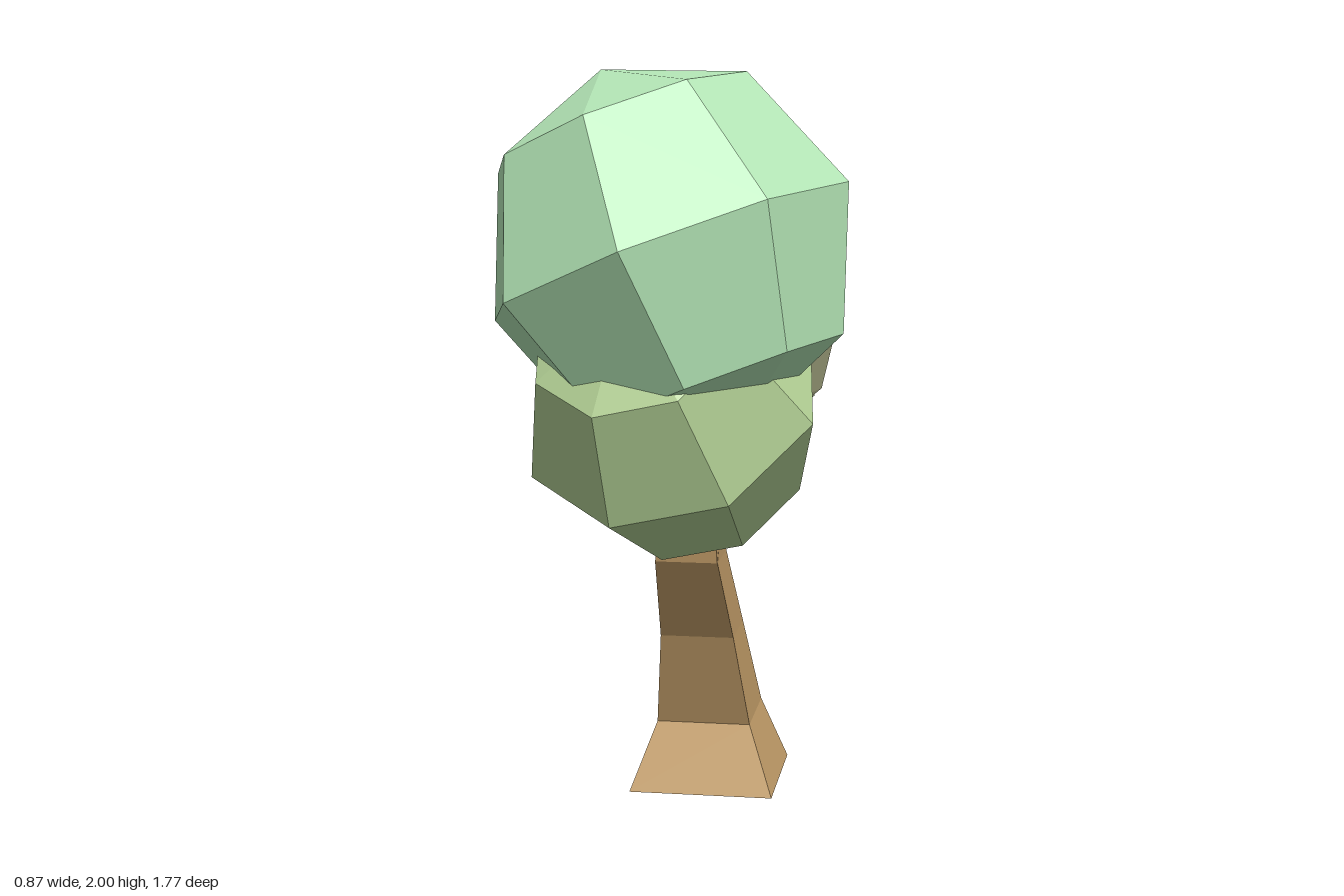
import * as THREE from 'three';

const material = (color) =>
  new THREE.MeshStandardMaterial({ color, flatShading: true, side: THREE.DoubleSide });

// Faceted leaf ball: centre, radius, direction of its pole and of one equator corner
function leafBall(name, color, centre, radius, pole, corner) {
  const up = new THREE.Vector3(...pole).normalize();
  const out = new THREE.Vector3(...corner);
  out.addScaledVector(up, -out.dot(up)).normalize();
  const side = new THREE.Vector3().crossVectors(out, up);
  const geometry = new THREE.SphereGeometry(radius, 8, 4);
  geometry.applyMatrix4(new THREE.Matrix4().makeBasis(out, up, side));
  const mesh = new THREE.Mesh(geometry, material(color));
  mesh.name = name;
  mesh.position.set(...centre);
  return mesh;
}

// Four-sided limb lofted through sections [frontZ, frontY, backZ, backY, halfWidth]
function limb(name, sections, closedBase = false) {
  const cx = -0.018;
  const rings = sections.map(([fz, fy, bz, by, w]) => [
    [cx + w, fy, fz], [cx + w, by, bz], [cx - w, by, bz], [cx - w, fy, fz],
  ]);
  const points = [];
  const quad = (a, b, c, d) => points.push(...a, ...b, ...c, ...a, ...c, ...d);
  for (let s = 0; s < rings.length - 1; s++) {
    const lower = rings[s], upper = rings[s + 1];
    for (let i = 0; i < 4; i++) {
      const j = (i + 1) % 4;
      quad(lower[i], lower[j], upper[j], upper[i]);
    }
  }
  if (closedBase) quad(...[...rings[0]].reverse());
  const geometry = new THREE.BufferGeometry();
  geometry.setAttribute('position', new THREE.Float32BufferAttribute(points, 3));
  geometry.computeVertexNormals();
  const mesh = new THREE.Mesh(geometry, material(0xc8a26c));
  mesh.name = name;
  return mesh;
}

export function createModel() {
  const tree = new THREE.Group();
  tree.name = 'tree';

  // Leaning trunk, ending in the wedge of the fork
  tree.add(limb('trunk', [
    [-0.195, 0, -0.6, 0, 0.2],
    [-0.26, 0.19, -0.53, 0.19, 0.13],
    [-0.138, 0.47, -0.34, 0.47, 0.1],
    [0.053, 0.72, -0.117, 0.72, 0.083],
    [-0.064, 0.865, -0.064, 0.865, 0.08],
  ], true));

  // Two branches rising from the fork into the leaves
  tree.add(limb('frontBranch', [
    [0.053, 0.72, -0.064, 0.865, 0.082],
    [0.122, 1.01, -0.005, 1.05, 0.075],
    [0.17, 1.2, 0.05, 1.22, 0.06],
  ]));
  tree.add(limb('backBranch', [
    [-0.064, 0.865, -0.117, 0.72, 0.082],
    [-0.233, 0.97, -0.228, 0.854, 0.072],
    [-0.313, 1.1, -0.377, 0.98, 0.065],
    [-0.42, 1.2, -0.48, 1.1, 0.055],
  ]));

  // Leaf balls
  tree.add(
    leafBall('topLeaves', 0xb4e6b6, [-0.005, 1.567, 0.415], 0.47, [-0.172, 0.434, -0.053], [0.435, 0.175, 0.02]),
    leafBall('lowerFrontLeaves', 0xb4d296, [0, 1.19, 0.4], 0.383, [0.076, -0.291, -0.244], [0.175, -0.17, 0.3]),
    leafBall('middleLeaves', 0xd6daaa, [-0.015, 1.385, -0.08], 0.4, [-0.19, 0.25, -0.244], [0.195, 0.31, 0.135]),
    leafBall('backLeaves', 0xc8d6aa, [-0.015, 1.235, -0.58], 0.315, [-0.075, 0.3, -0.022], [0.3, 0.08, -0.07]),
  );
  return tree;
}
